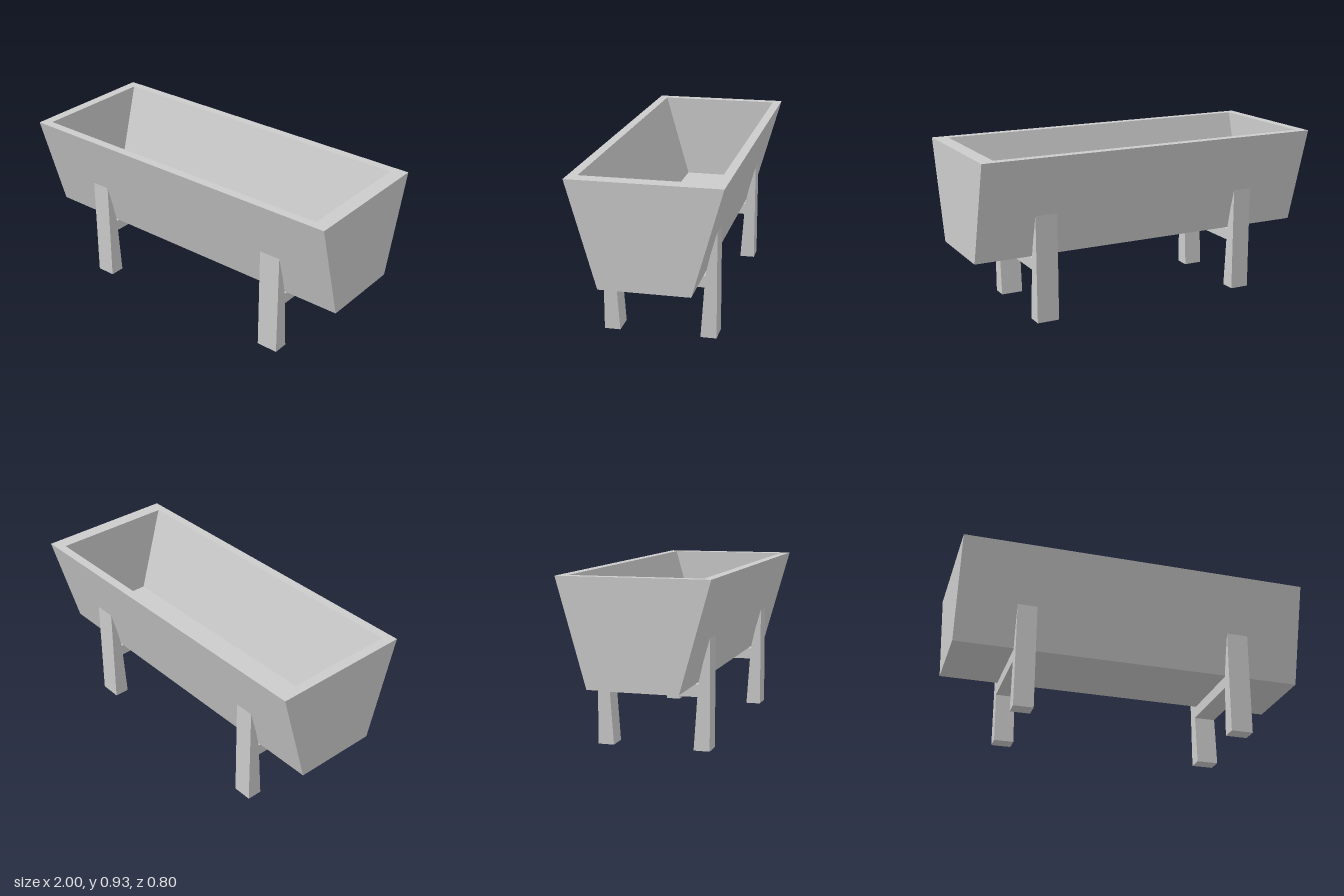
import * as THREE from 'three';

const material = new THREE.MeshStandardMaterial({ color: 0xcccccc, flatShading: true });

// Rectangular loop at height y, counter-clockwise seen from above
const loop = (x0, x1, z, y) => [[x0, y, z], [x1, y, z], [x1, y, -z], [x0, y, -z]];

// Closed skin through the loops, capped at the first and last
function skin(loops) {
  const index = [];
  for (let k = 0; k < loops.length - 1; k++) {
    for (let i = 0; i < 4; i++) {
      const j = (i + 1) % 4;
      const a = k * 4 + i, b = k * 4 + j, c = b + 4, d = a + 4;
      index.push(a, b, c, a, c, d);
    }
  }
  const n = (loops.length - 1) * 4;
  index.push(0, 2, 1, 0, 3, 2, n, n + 1, n + 2, n, n + 2, n + 3);
  const indexed = new THREE.BufferGeometry();
  indexed.setAttribute('position', new THREE.Float32BufferAttribute(loops.flat(2), 3));
  indexed.setIndex(index);
  const geometry = indexed.toNonIndexed();
  geometry.computeVertexNormals();
  return geometry;
}

// Trestle: two legs notched to the trough's slope, joined by a crossbar
function standGeometry(width) {
  const half = [[0.24, 0.285], [0.22, 0], [0.307, 0], [0.307, 0.605], [0.278, 0.5], [0.244, 0.35]];
  const mirrored = half.map(([z, y]) => [-z, y]).reverse();
  const shape = new THREE.Shape([...half, ...mirrored].map(([z, y]) => new THREE.Vector2(z, y)));
  const geometry = new THREE.ExtrudeGeometry(shape, { depth: width, bevelEnabled: false });
  return geometry.rotateY(Math.PI / 2);
}

export function createModel() {
  const model = new THREE.Group();
  model.name = 'troughOnStands';

  // Trough: outside up, over the rim, down to the inner floor
  const trough = new THREE.Mesh(skin([
    loop(-1, 1, 0.24, 0.36),
    loop(-1, 1, 0.4, 0.925),
    loop(-0.945, 0.92, 0.35, 0.925),
    loop(-0.945, 0.92, 0.207, 0.42),
  ]), material);
  trough.name = 'trough';
  model.add(trough);

  // Stands
  for (const [name, x0, x1] of [['rightStand', -0.67, -0.56], ['leftStand', 0.555, 0.68]]) {
    const stand = new THREE.Mesh(standGeometry(x1 - x0), material);
    stand.name = name;
    stand.position.x = x0;
    model.add(stand);
  }
  return model;
}
